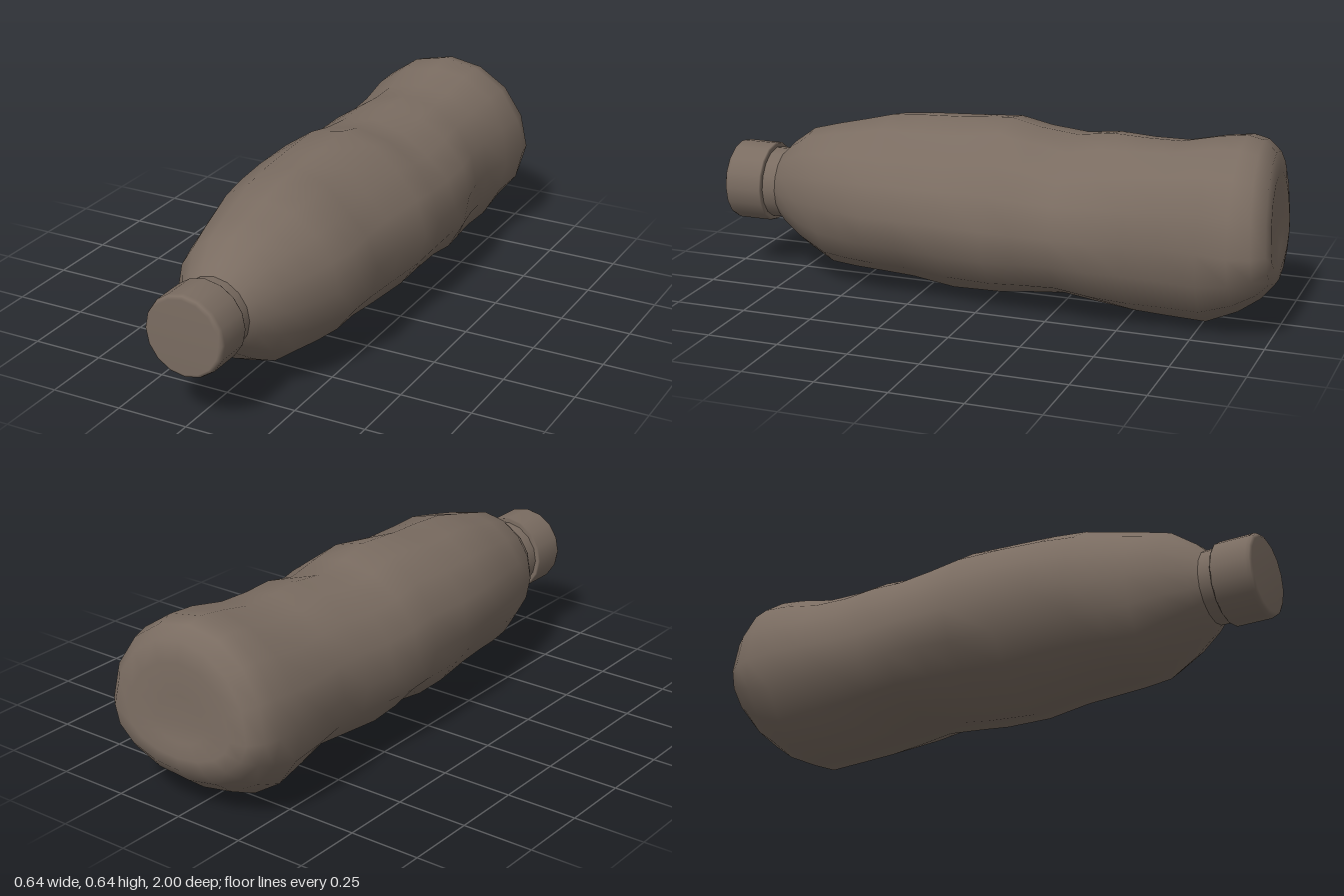
import * as THREE from 'three';

const SIDES = 16;
const AXIS_Y = 0.315;

// Body cross-sections: z, then reach from the axis to +x, -x, up, down
const RINGS = [
  [0.81, 0.125, 0.125, 0.125, 0.125],
  [0.78, 0.15, 0.15, 0.155, 0.155],
  [0.7, 0.2, 0.205, 0.213, 0.212],
  [0.6, 0.243, 0.234, 0.24, 0.265],
  [0.5, 0.277, 0.26, 0.264, 0.27],
  [0.4, 0.305, 0.286, 0.29, 0.272],
  [0.28, 0.305, 0.308, 0.3, 0.284],
  [0.13, 0.306, 0.322, 0.307, 0.308],
  [-0.04, 0.322, 0.314, 0.319, 0.294],
  [-0.15, 0.322, 0.32, 0.293, 0.276],
  [-0.28, 0.322, 0.312, 0.28, 0.255],
  [-0.4, 0.319, 0.298, 0.295, 0.268],
  [-0.52, 0.291, 0.296, 0.289, 0.289],
  [-0.64, 0.282, 0.312, 0.288, 0.303],
  [-0.77, 0.3, 0.32, 0.316, 0.312],
  [-0.87, 0.32, 0.311, 0.33, 0.26],
  [-0.935, 0.305, 0.295, 0.318, 0.205],
  [-0.978, 0.26, 0.26, 0.28, 0.155],
  [-0.986, 0.2, 0.2, 0.21, 0.11],
  [-0.978, 0.1, 0.1, 0.1, 0.06],
];

// Dents (negative for bulges): angle in degrees, z, angular width, length, depth
const DENTS = [
  [45, 0.17, 27, 0.24, 0.05],
  [50, -0.3, 25, 0.1, 0.027],
  [50, -0.71, 24, 0.13, -0.023],
  [207, 0.28, 26, 0.18, 0.038],
  [229, 0, 23, 0.13, 0.04],
  [230, -0.3, 22, 0.09, -0.016],
  [228, -0.56, 23, 0.11, 0.024],
  [310, -0.45, 25, 0.27, -0.028],
  [310, 0.2, 24, 0.16, 0.012],
  [135, -0.58, 26, 0.1, 0.006],
];

function dentDepth(degrees, z) {
  let depth = 0;
  for (const [angle, at, width, length, amount] of DENTS) {
    const turn = ((degrees - angle + 540) % 360) - 180;
    depth += amount * Math.exp(-((turn / width) ** 2) - ((z - at) / length) ** 2);
  }
  return depth;
}

// Crumpled skin lofted through the rings and closed at the base
function bodyGeometry() {
  const points = [];
  const index = [];
  for (const [z, right, left, up, down] of RINGS) {
    const tilt = THREE.MathUtils.smoothstep(-z, 0.8, 0.96);
    for (let i = 0; i < SIDES; i++) {
      const angle = (i / SIDES) * Math.PI * 2;
      const c = Math.cos(angle);
      const s = Math.sin(angle);
      const dent = dentDepth((i / SIDES) * 360, z);
      const x = c * ((c > 0 ? right : left) - dent);
      const y = s * ((s > 0 ? up : down) - dent);
      points.push(x, AXIS_Y + y, z + tilt * (0.06 * y - 0.06 * x));
    }
  }
  for (let r = 0; r < RINGS.length - 1; r++) {
    for (let i = 0; i < SIDES; i++) {
      const j = (i + 1) % SIDES;
      const a = r * SIDES + i;
      const b = r * SIDES + j;
      index.push(a, a + SIDES, b, b, a + SIDES, b + SIDES);
    }
  }
  const last = (RINGS.length - 1) * SIDES;
  const centre = points.length / 3;
  points.push(0, AXIS_Y, -0.974);
  for (let i = 0; i < SIDES; i++) index.push(last + i, centre, last + ((i + 1) % SIDES));

  const geometry = new THREE.BufferGeometry();
  geometry.setAttribute('position', new THREE.Float32BufferAttribute(points, 3));
  geometry.setIndex(index);
  geometry.computeVertexNormals();
  return geometry;
}

// Round part turned about the bottle's long axis; profile is [radius, z] from back to front
function turned(name, profile, material) {
  const geometry = new THREE.LatheGeometry(profile.map(([r, z]) => new THREE.Vector2(r, z)), SIDES);
  geometry.rotateX(Math.PI / 2);
  geometry.translate(0, AXIS_Y, 0);
  const mesh = new THREE.Mesh(geometry, material);
  mesh.name = name;
  return mesh;
}

export function createModel() {
  const plastic = new THREE.MeshStandardMaterial({ color: 0x7a6c61 });
  plastic.name = 'brown plastic';

  const group = new THREE.Group();
  group.name = 'crumpledBottle';

  const body = new THREE.Mesh(bodyGeometry(), plastic);
  body.name = 'body';
  group.add(body);

  // Neck
  group.add(turned('neck', [[0.12, 0.79], [0.126, 0.805], [0.126, 0.86]], plastic));

  // Screw cap with softened rims
  group.add(turned('cap', [
    [0, 0.856], [0.138, 0.856], [0.142, 0.862],
    [0.142, 0.982], [0.138, 0.994], [0.128, 1], [0, 1],
  ], plastic));

  return group;
}
